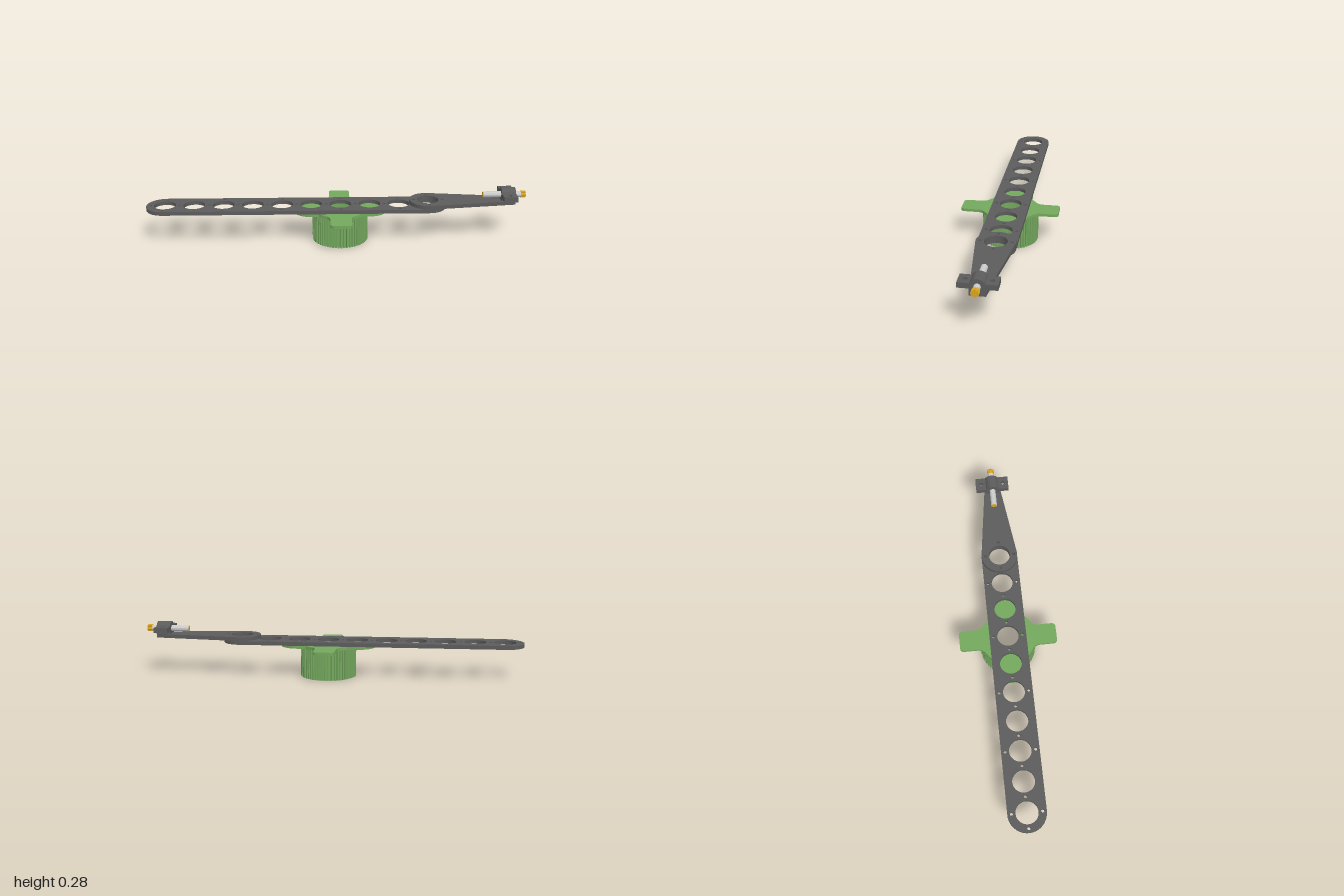
import * as THREE from 'three';
import { toCreasedNormals } from 'three/addons/utils/BufferGeometryUtils.js';

const green = new THREE.MeshStandardMaterial({ color: 0x74a85e });
const dark = new THREE.MeshStandardMaterial({ color: 0x5c5c5c });
const steel = new THREE.MeshStandardMaterial({ color: 0xcccccc });
const gold = new THREE.MeshStandardMaterial({ color: 0xdaa520 });

const HUB_X = 0.02, PITCH = 0.154, HALF_W = 0.097, HOLE_R = 0.057, SCREW_R = 0.008;
const FIRST_X = -0.903, LAST_X = FIRST_X + 9 * PITCH;

export function createModel() {
  const root = new THREE.Group();

  const add = (name, geometry, material) => {
    const mesh = new THREE.Mesh(toCreasedNormals(geometry, 0.5), material);
    mesh.name = name;
    root.add(mesh);
    return mesh;
  };
  const hole = (shape, x, y, r) => {
    const path = new THREE.Path();
    path.absarc(x, y, r, 0, Math.PI * 2, true);
    shape.holes.push(path);
  };
  // Four screw holes around a large hole
  const screwRing = (shape, x) => {
    for (const [dx, dy] of [[1, 0], [-1, 0], [0, 1], [0, -1]])
      hole(shape, x + dx * PITCH / 2, dy * PITCH / 2, SCREW_R);
  };
  // Horizontal sheet: shape in plan, from y0 to y1
  const slab = (name, shape, y0, y1, material) => {
    const g = new THREE.ExtrudeGeometry(shape, { depth: y1 - y0, bevelEnabled: false, curveSegments: 20 });
    g.rotateX(-Math.PI / 2);
    g.translate(0, y0, 0);
    return add(name, g, material);
  };
  // Evenly toothed outline
  const toothed = (count, outer, inner) => {
    const pts = [];
    for (let i = 0; i < count; i++)
      for (const [f, r] of [[0, outer], [0.5, outer], [0.6, inner], [0.9, inner]]) {
        const a = (i + f) / count * Math.PI * 2;
        pts.push(new THREE.Vector2(r * Math.cos(a), r * Math.sin(a)));
      }
    return new THREE.Shape(pts);
  };

  // Toothed hollow hub
  const hub = toothed(60, 0.147, 0.139);
  hole(hub, 0, 0, 0.127);
  slab('toothedHub', hub, 0, 0.157, green).position.x = HUB_X;

  // Mounting plate: one quarter outline, mirrored to four
  const q = new THREE.Path();
  q.moveTo(0, 0.257);
  q.lineTo(0.035, 0.257);
  q.absarc(0.035, 0.237, 0.02, Math.PI / 2, 0, true);
  q.lineTo(0.055, 0.17);
  q.quadraticCurveTo(0.055, 0.141, 0.077, 0.125);
  q.quadraticCurveTo(0.097, 0.112, 0.112, HALF_W);
  q.lineTo(PITCH, HALF_W);
  q.absarc(PITCH, 0, HALF_W, Math.PI / 2, 0, true);
  const quarter = q.getPoints(12);
  const flip = (sx, sy) => quarter.map(p => new THREE.Vector2(p.x * sx, p.y * sy));
  const plate = new THREE.Shape([
    ...quarter.slice(0, -1), ...flip(1, -1).reverse().slice(0, -1),
    ...flip(-1, -1).slice(0, -1), ...flip(-1, 1).reverse().slice(0, -1),
  ]);
  hole(plate, 0, 0, HOLE_R);
  slab('mountingPlate', plate, 0.157, 0.172, green).position.x = HUB_X;

  // Long perforated bar
  const bar = new THREE.Shape();
  bar.absarc(LAST_X, 0, HALF_W, -Math.PI / 2, Math.PI / 2, false);
  bar.absarc(FIRST_X, 0, HALF_W, Math.PI / 2, Math.PI * 1.5, false);
  for (let i = 0; i < 10; i++) {
    hole(bar, FIRST_X + i * PITCH, 0, HOLE_R);
    if (i % 2 === 0) screwRing(bar, FIRST_X + i * PITCH);
  }
  for (const s of [-1, 1]) hole(bar, LAST_X, s * PITCH / 2, SCREW_R);
  hole(bar, LAST_X + PITCH / 2, 0, SCREW_R);
  slab('perforatedBar', bar, 0.172, 0.192, dark);

  // Tapered end arm
  const arm = new THREE.Shape();
  arm.absarc(LAST_X, 0, HALF_W, 1.44, Math.PI * 2 - 1.44, false);
  arm.lineTo(0.944, -0.037);
  arm.lineTo(0.944, 0.037);
  hole(arm, LAST_X, 0, HOLE_R);
  screwRing(arm, LAST_X);
  slab('taperedArm', arm, 0.192, 0.212, dark);

  // Round-topped clamp block
  const block = new THREE.Shape();
  block.moveTo(-0.037, 0.2);
  block.lineTo(0.037, 0.2);
  block.absarc(0, 0.238, 0.037, 0, Math.PI, false);
  hole(block, 0, 0.238, 0.016);
  const blockGeo = new THREE.ExtrudeGeometry(block, { depth: 0.074, bevelEnabled: false, curveSegments: 20 });
  blockGeo.rotateY(Math.PI / 2);
  blockGeo.translate(0.87, 0, 0);
  add('clampBlock', blockGeo, dark);

  // Clamp ears with a screw hole each
  for (const s of [-1, 1]) {
    const ear = new THREE.Shape();
    ear.moveTo(0.87, -0.03);
    ear.lineTo(0.944, -0.03);
    ear.lineTo(0.944, 0.03);
    ear.lineTo(0.87, 0.03);
    hole(ear, 0.907, 0, 0.011);
    slab(s > 0 ? 'leftClampEar' : 'rightClampEar', ear, 0.226, 0.252, dark).position.z = s * 0.06;
  }

  // Rod, its inner end face and its fluted tip
  const rod = (name, r, x0, x1, material) => {
    const g = new THREE.CylinderGeometry(r, r, x1 - x0, 32);
    g.rotateZ(Math.PI / 2);
    g.translate((x0 + x1) / 2, 0.238, 0);
    add(name, g, material);
  };
  rod('rod', 0.016, 0.776, 0.978, steel);
  rod('rodCore', 0.013, 0.774, 0.79, gold);
  const tip = new THREE.ExtrudeGeometry(toothed(12, 0.019, 0.015), { depth: 0.025, bevelEnabled: false });
  tip.rotateY(Math.PI / 2);
  tip.translate(0.975, 0.238, 0);
  add('flutedTip', tip, gold);

  return root;
}
